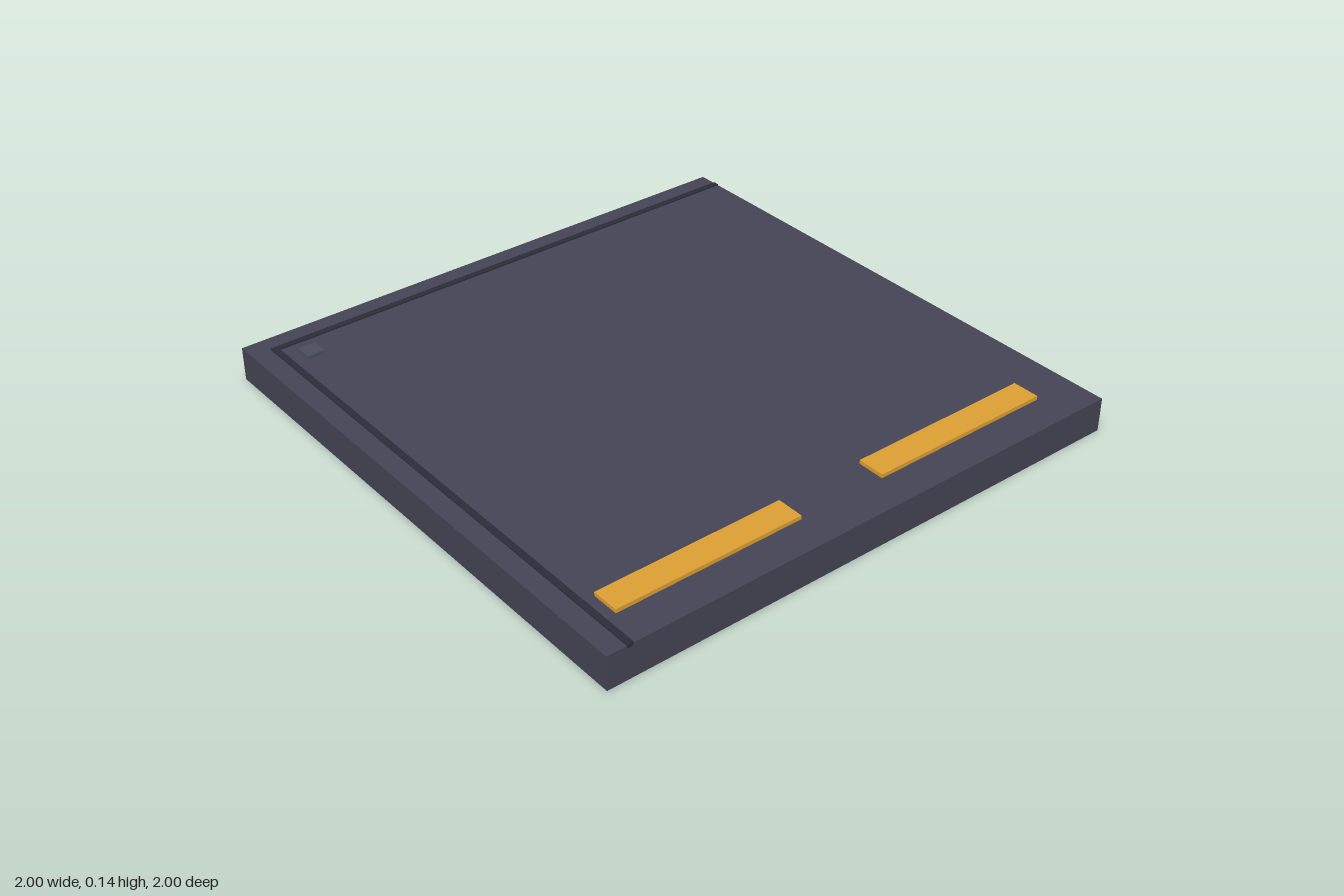
import * as THREE from 'three';

const material = (color) => new THREE.MeshStandardMaterial({ color });
const SLAB = material(0x444455);
const TRIM = material(0x2c2c3a);
const AMBER = material(0xdd9f33);
const STUD = material(0x4a4f5e);

const TOP = 0.122; // height of the slab's upper face

export function createModel() {
  const model = new THREE.Group();
  model.name = 'floorTile';

  // Box given by its extents along x, y and z
  const box = (name, [x0, x1], [y0, y1], [z0, z1], mat) => {
    const mesh = new THREE.Mesh(new THREE.BoxGeometry(x1 - x0, y1 - y0, z1 - z0), mat);
    mesh.position.set((x0 + x1) / 2, (y0 + y1) / 2, (z0 + z1) / 2);
    mesh.name = name;
    model.add(mesh);
  };

  // Square base slab
  box('slab', [-1, 1], [0, TOP], [-1, 1], SLAB);

  // Thin raised trim lines along two edges, meeting in the back corner
  const trimY = [TOP - 0.01, TOP + 0.004];
  box('sideTrim', [-0.93, -0.907], trimY, [-0.91, 1], TRIM);
  box('backTrim', [-0.93, 1], trimY, [-0.933, -0.91], TRIM);

  // Pair of amber marking bars near the front edge
  for (const x of [[-0.87, -0.183], [0.145, 0.833]]) {
    box('markingBar', x, [TOP - 0.01, 0.136], [0.775, 0.873], AMBER);
  }

  // Small square stud inside the trim corner
  box('cornerStud', [-0.863, -0.8], [TOP - 0.01, 0.134], [-0.863, -0.8], STUD);

  return model;
}
